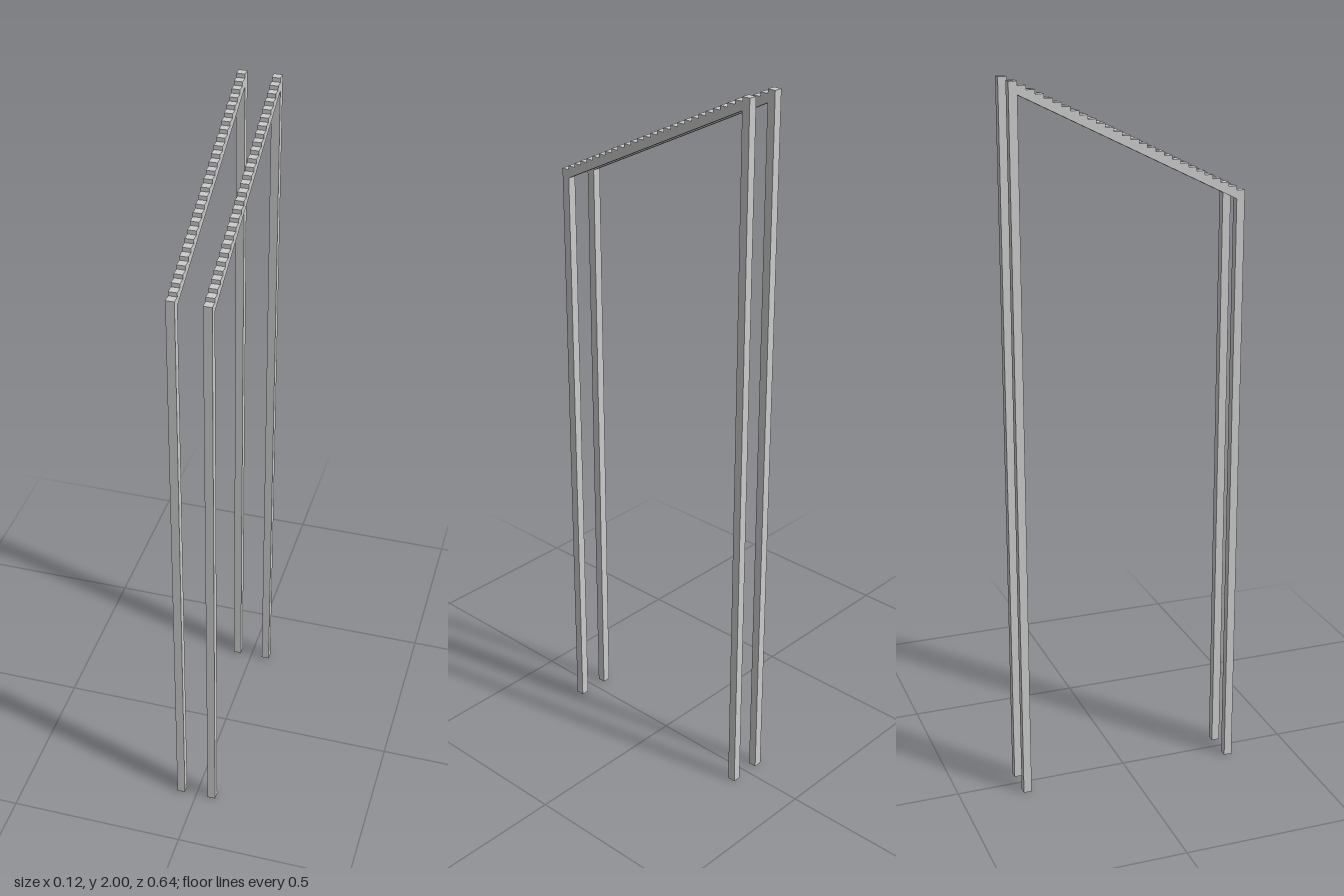
import * as THREE from 'three';

const W = 0.023;          // square bar width, also the tread depth
const STEPS = 28;
const HALF = STEPS * W / 2;
const RISE = 0.31 / (STEPS - 1);
const LOW = 1.69, HIGH = 2;

export function createModel() {
  const group = new THREE.Group();
  const mat = new THREE.MeshStandardMaterial({ color: 0xcccccc, flatShading: true });

  // Stepped top edge with a straight sloping underside, drawn in (-z, y)
  const shape = new THREE.Shape();
  shape.moveTo(-HALF + W, LOW - W);
  shape.lineTo(HALF - W, LOW - W + RISE * (STEPS - 2));
  for (let k = STEPS - 2; k >= 1; k--) {
    const top = LOW + RISE * k;
    shape.lineTo(-HALF + W * (k + 1), top);
    shape.lineTo(-HALF + W * k, top);
  }
  shape.closePath();
  const railGeo = new THREE.ExtrudeGeometry(shape, { depth: W, bevelEnabled: false });
  railGeo.translate(0, 0, -W / 2);
  railGeo.rotateY(Math.PI / 2);

  const addPost = (name, x, z, height) => {
    const post = new THREE.Mesh(new THREE.BoxGeometry(W, height, W), mat);
    post.name = name;
    post.position.set(x, height / 2, z);
    group.add(post);
  };

  // Two identical side frames: short front post, tall back post, stepped rail
  for (const [side, x] of [['left', 0.0465], ['right', -0.0465]]) {
    addPost(side + 'FrontPost', x, HALF - W / 2, LOW);
    addPost(side + 'BackPost', x, -HALF + W / 2, HIGH);
    const rail = new THREE.Mesh(railGeo, mat);
    rail.name = side + 'SteppedRail';
    rail.position.x = x;
    group.add(rail);
  }
  return group;
}
